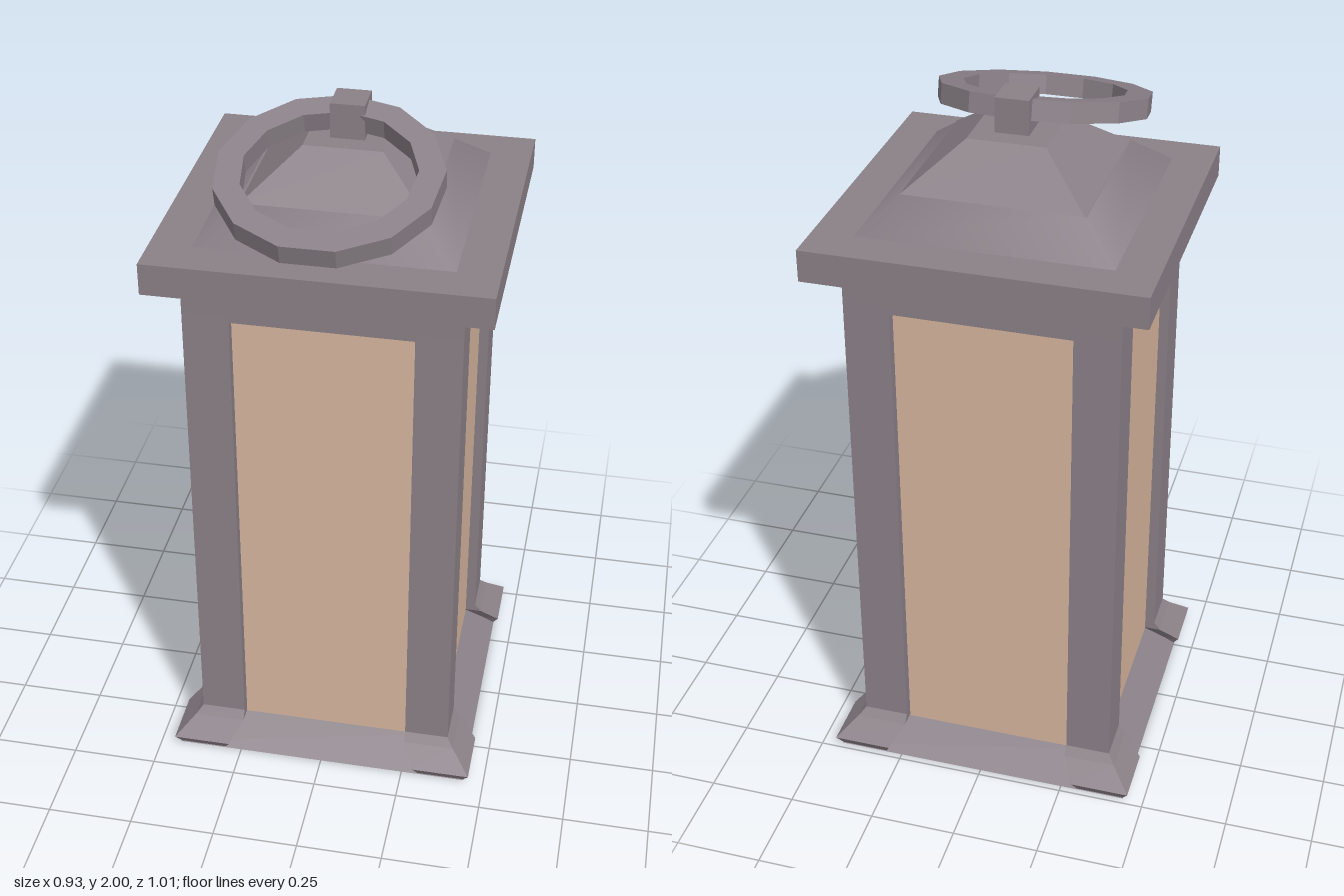
import * as THREE from 'three';

const metal = new THREE.MeshStandardMaterial({ color: 0x8b8188 });
metal.name = 'grey metal';
const glass = new THREE.MeshStandardMaterial({ color: 0xd8b69f });
glass.name = 'warm glass';

// Give every face its own flat normal
function faceted(geometry) {
  const g = geometry.toNonIndexed();
  g.computeVertexNormals();
  return g;
}

// Square frustum between two heights, from half-widths
function frustum(bottom, top, y0, y1) {
  const g = new THREE.CylinderGeometry(top * Math.SQRT2, bottom * Math.SQRT2, y1 - y0, 4);
  return g.rotateY(Math.PI / 4).translate(0, (y0 + y1) / 2, 0);
}

// Corner post lofted through square sections [y, inner, outer]
function postGeometry(sections) {
  const positions = [];
  const index = [];
  for (const [y, a, b] of sections) {
    positions.push(a, y, a, a, y, b, b, y, b, b, y, a);
  }
  const last = (sections.length - 1) * 4;
  for (let s = 0; s < last; s += 4) {
    for (let i = 0; i < 4; i++) {
      const j = (i + 1) % 4;
      index.push(s + i, s + j, s + 4 + j, s + i, s + 4 + j, s + 4 + i);
    }
  }
  index.push(0, 2, 1, 0, 3, 2, last, last + 1, last + 2, last, last + 2, last + 3);
  const g = new THREE.BufferGeometry();
  g.setAttribute('position', new THREE.Float32BufferAttribute(positions, 3));
  g.setIndex(index);
  return faceted(g);
}

export function createModel() {
  const model = new THREE.Group();
  model.name = 'lantern';
  const body = new THREE.Group();
  body.name = 'body';
  body.position.z = -0.041;
  model.add(body);

  const add = (parent, name, geometry, material = metal) => {
    const mesh = new THREE.Mesh(geometry, material);
    mesh.name = name;
    parent.add(mesh);
    return mesh;
  };

  // Sloping sill and glowing panes
  add(body, 'baseSill', faceted(frustum(0.44, 0.345, 0, 0.085)));
  add(body, 'glassPanes', new THREE.BoxGeometry(0.7, 1.44, 0.7).translate(0, 0.8, 0), glass);

  // Four posts with flared feet
  const post = postGeometry([
    [0, 0.3, 0.437], [0.03, 0.285, 0.455], [0.085, 0.25, 0.4],
    [0.11, 0.25, 0.38], [1.52, 0.25, 0.378],
  ]);
  for (let i = 0; i < 4; i++) {
    add(body, 'cornerPost' + (i + 1), post).rotation.y = (i * Math.PI) / 2;
  }

  // Header above the panes and the overhanging eave
  add(body, 'header', new THREE.BoxGeometry(0.756, 0.12, 0.756).translate(0, 1.56, 0));
  add(body, 'eave', new THREE.BoxGeometry(0.926, 0.09, 0.926).translate(0, 1.657, 0));

  // Two-stage roof: softly shaded skirt and sharp cap
  add(body, 'roofSkirt', frustum(0.35, 0.248, 1.7, 1.788));
  const cap = add(body, 'roofCap', faceted(frustum(0.248, 0.108, 1.788, 1.902)));
  cap.position.x = 0.006;

  // Lug that holds the ring
  add(model, 'ringLug', new THREE.BoxGeometry(0.094, 0.11, 0.1).translate(0.007, 1.945, -0.041));

  // Tilted thirteen-sided carrying ring
  const t = 0.028;
  const profile = [[0.3, -t], [0.3, t], [0.23, t], [0.23, -t], [0.3, -t]]
    .map(([r, y]) => new THREE.Vector2(r, y));
  const ring = add(model, 'carryRing',
    faceted(new THREE.LatheGeometry(profile, 13, Math.PI / 13)));
  ring.position.set(0, 1.888, 0.215);
  ring.rotation.x = 0.265;

  return model;
}
